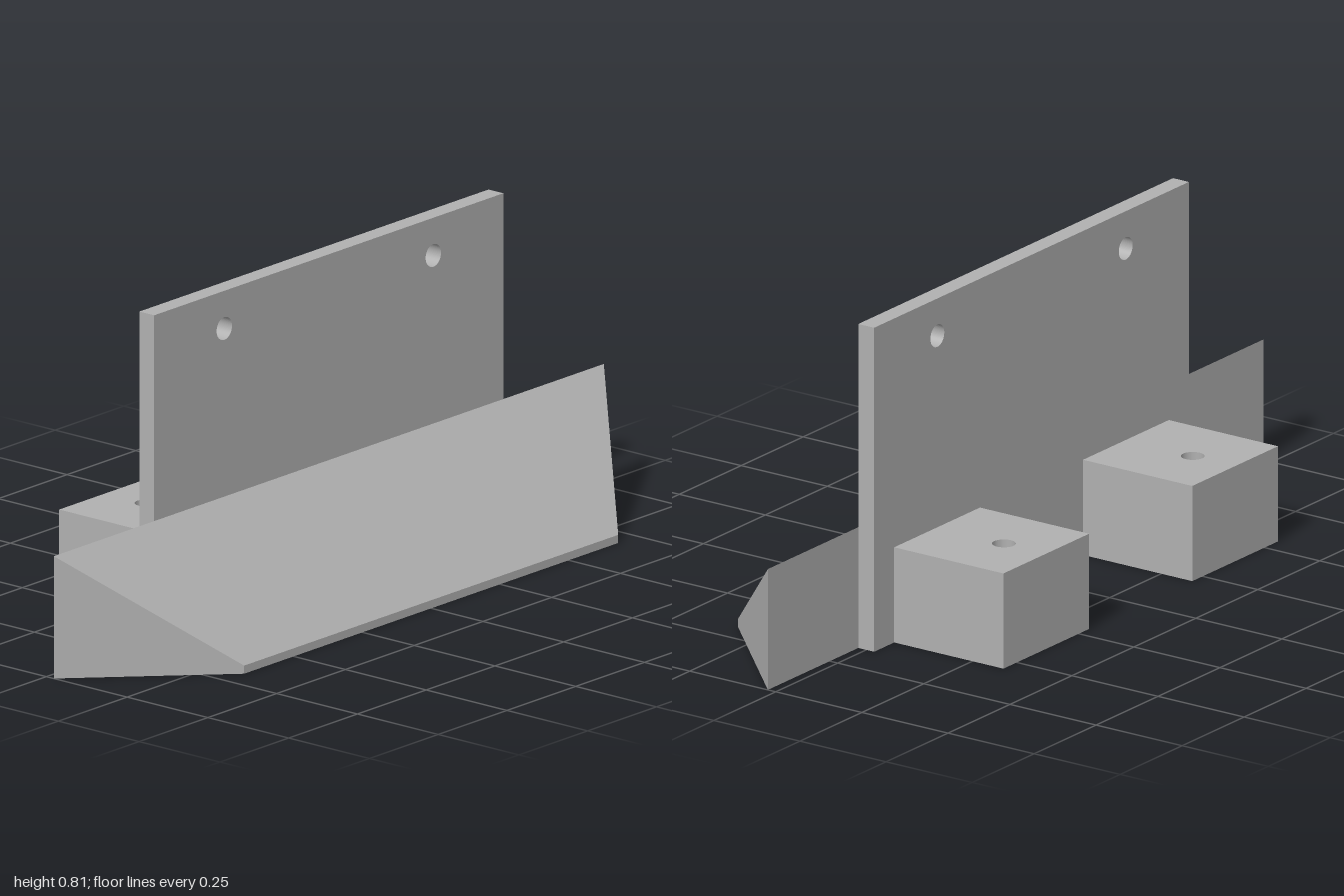
import * as THREE from 'three';

// Rectangle outline with round holes
function plateShape(x0, y0, x1, y1, holes) {
  const s = new THREE.Shape([
    new THREE.Vector2(x0, y0), new THREE.Vector2(x1, y0),
    new THREE.Vector2(x1, y1), new THREE.Vector2(x0, y1),
  ]);
  for (const [x, y, r] of holes) {
    const h = new THREE.Path();
    h.absarc(x, y, r, 0, Math.PI * 2, true);
    s.holes.push(h);
  }
  return s;
}

const extrude = (shape, depth) =>
  new THREE.ExtrudeGeometry(shape, { depth, bevelEnabled: false, curveSegments: 32 });

export function createModel() {
  const model = new THREE.Group();
  model.name = 'bracket';
  const grey = new THREE.MeshStandardMaterial({ color: 0xb0b0b0 });
  grey.name = 'grey';

  const add = (name, geometry, parent = model) => {
    const mesh = new THREE.Mesh(geometry, grey);
    mesh.name = name;
    parent.add(mesh);
  };

  const half = 0.023; // half thickness of the upright plate

  // Upright plate with two screw holes
  const plate = extrude(
    plateShape(-0.635, 0, 0.635, 0.81, [[-0.38, 0.717, 0.028], [0.38, 0.717, 0.028]]), 2 * half);
  plate.rotateY(Math.PI / 2).translate(-half, 0, 0);
  add('uprightPlate', plate);

  // Sloping ramp: trapezoid footprint, its top lowered towards the outer edge
  const footprint = new THREE.Shape([
    new THREE.Vector2(half, -1), new THREE.Vector2(0.34, -0.68),
    new THREE.Vector2(0.34, 0.68), new THREE.Vector2(half, 1),
  ]);
  const ramp = extrude(footprint, 0.3).rotateX(-Math.PI / 2);
  const p = ramp.attributes.position;
  for (let i = 0; i < p.count; i++) {
    if (p.getY(i) > 0.15) p.setY(i, 0.302 - 0.282 * (p.getX(i) - half) / (0.34 - half));
  }
  ramp.computeVertexNormals();
  add('ramp', ramp);

  // Two mounting blocks, bored through and counterbored from below
  const bore = 0.12;
  for (const side of [1, -1]) {
    const block = new THREE.Group();
    block.name = side > 0 ? 'frontBlock' : 'backBlock';
    const layer = (r, depth) => extrude(
      plateShape(-0.34, -0.173, -half, 0.173, [[-0.217, 0, r]]), depth).rotateX(-Math.PI / 2);
    add('counterboredBase', layer(0.052, bore), block);
    add('boredTop', layer(0.028, 0.238 - bore).translate(0, bore, 0), block);
    block.position.z = side * 0.381;
    model.add(block);
  }
  return model;
}
